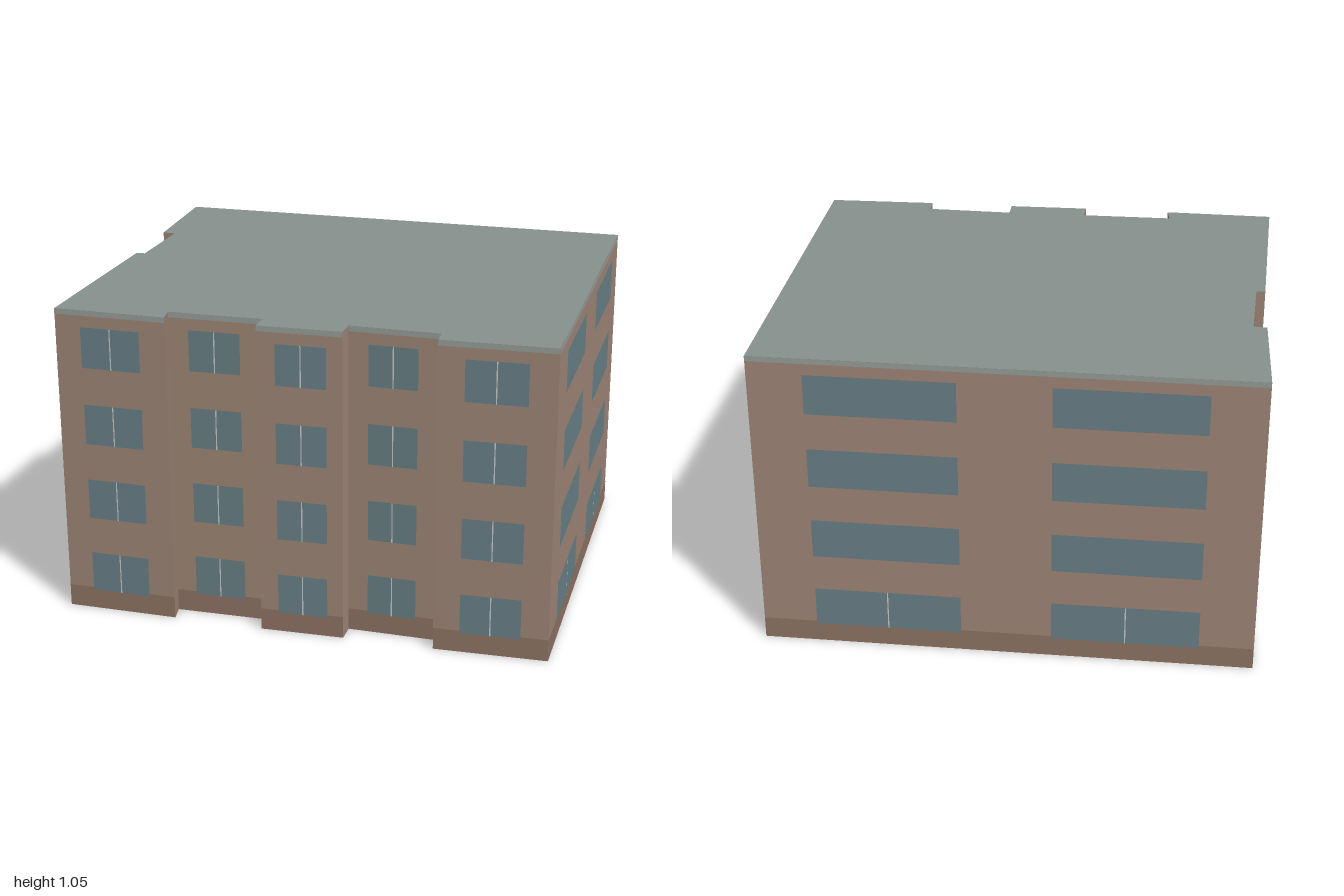
import * as THREE from 'three';

const HEIGHT = 1.053;
const FLOORS = 4, FLOOR_STEP = 0.264, SILL = 0.067, WINDOW_HEIGHT = 0.138;

const paint = (color, side = THREE.FrontSide) => new THREE.MeshStandardMaterial({ color, side });

// Wall runs, counter-clockwise from the back corner on the -x side.
// Each: start x, start z, window spans as fractions of the run, mullions ('all', 'ground', none).
// Runs without spans are the short plain returns of the bays.
const RUNS = [
  [-1, -0.368, [[0.23, 0.74]]],
  [-0.853, 0],
  [-0.81, -0.012, [[0.21, 0.78]]],
  [-0.722, 0.258],
  [-0.75, 0.268, [[0.114, 0.4], [0.59, 0.87]]],
  [-0.532, 0.92, [[0.23, 0.765]], 'all'],
  [-0.177, 0.797],
  [-0.207, 0.743, [[0.21, 0.75]], 'all'],
  [0.09, 0.632],
  [0.11, 0.697, [[0.215, 0.81]], 'all'],
  [0.37, 0.597],
  [0.348, 0.534, [[0.22, 0.76]], 'all'],
  [0.63, 0.438],
  [0.652, 0.494, [[0.23, 0.76]], 'all'],
  [1, 0.358, [[0.113, 0.41], [0.59, 0.886]], 'ground'],
  [0.542, -0.92, [[0.11, 0.408], [0.592, 0.89]], 'ground'],
];

export function createModel() {
  const model = new THREE.Group();
  model.name = 'apartmentBuilding';
  const wallPaint = paint(0xa08777, THREE.DoubleSide);
  const plinthPaint = paint(0x907465);
  const copingPaint = paint(0x97a09b);
  const glassPaint = paint(0x6a8188);
  const mullionPaint = paint(0xcccccc);
  const roofPaint = paint(0x87928e, THREE.DoubleSide);

  RUNS.forEach(([x0, z0, spans, mullions], i) => {
    const [x1, z1] = RUNS[(i + 1) % RUNS.length];
    const length = Math.hypot(x1 - x0, z1 - z0);

    // Local frame: x along the wall, y up, z outward
    const side = new THREE.Group();
    side.name = spans ? 'facade' : 'bayReturn';
    side.position.set(x0, 0, z0);
    side.rotation.y = Math.atan2(z0 - z1, x1 - x0);
    model.add(side);

    const panel = (name, material, left, right, bottom, top, out) => {
      const mesh = new THREE.Mesh(new THREE.PlaneGeometry(right - left, top - bottom), material);
      mesh.name = name;
      mesh.position.set((left + right) / 2, (bottom + top) / 2, out);
      side.add(mesh);
    };

    panel('wall', wallPaint, 0, length, 0, HEIGHT, 0);
    if (!spans) return;
    panel('plinth', plinthPaint, 0, length, 0, 0.075, 0.001);
    panel('coping', copingPaint, 0, length, 1.035, HEIGHT, 0.001);

    // Windows, floor by floor
    for (let floor = 0; floor < FLOORS; floor++) {
      const bottom = SILL + floor * FLOOR_STEP, top = bottom + WINDOW_HEIGHT;
      for (const [a, b] of spans) {
        panel('window', glassPaint, a * length, b * length, bottom, top, 0.002);
        if (mullions === 'all' || (mullions === 'ground' && floor === 0)) {
          const middle = (a + b) / 2 * length;
          panel('mullion', mullionPaint, middle - 0.002, middle + 0.002, bottom, top, 0.003);
        }
      }
    }
  });

  // Flat roof over the whole footprint; the underside stays open
  const outline = new THREE.Shape(RUNS.map(([x, z]) => new THREE.Vector2(x, -z)));
  const roof = new THREE.Mesh(new THREE.ShapeGeometry(outline).rotateX(-Math.PI / 2), roofPaint);
  roof.name = 'roof';
  roof.position.y = HEIGHT;
  model.add(roof);

  return model;
}
